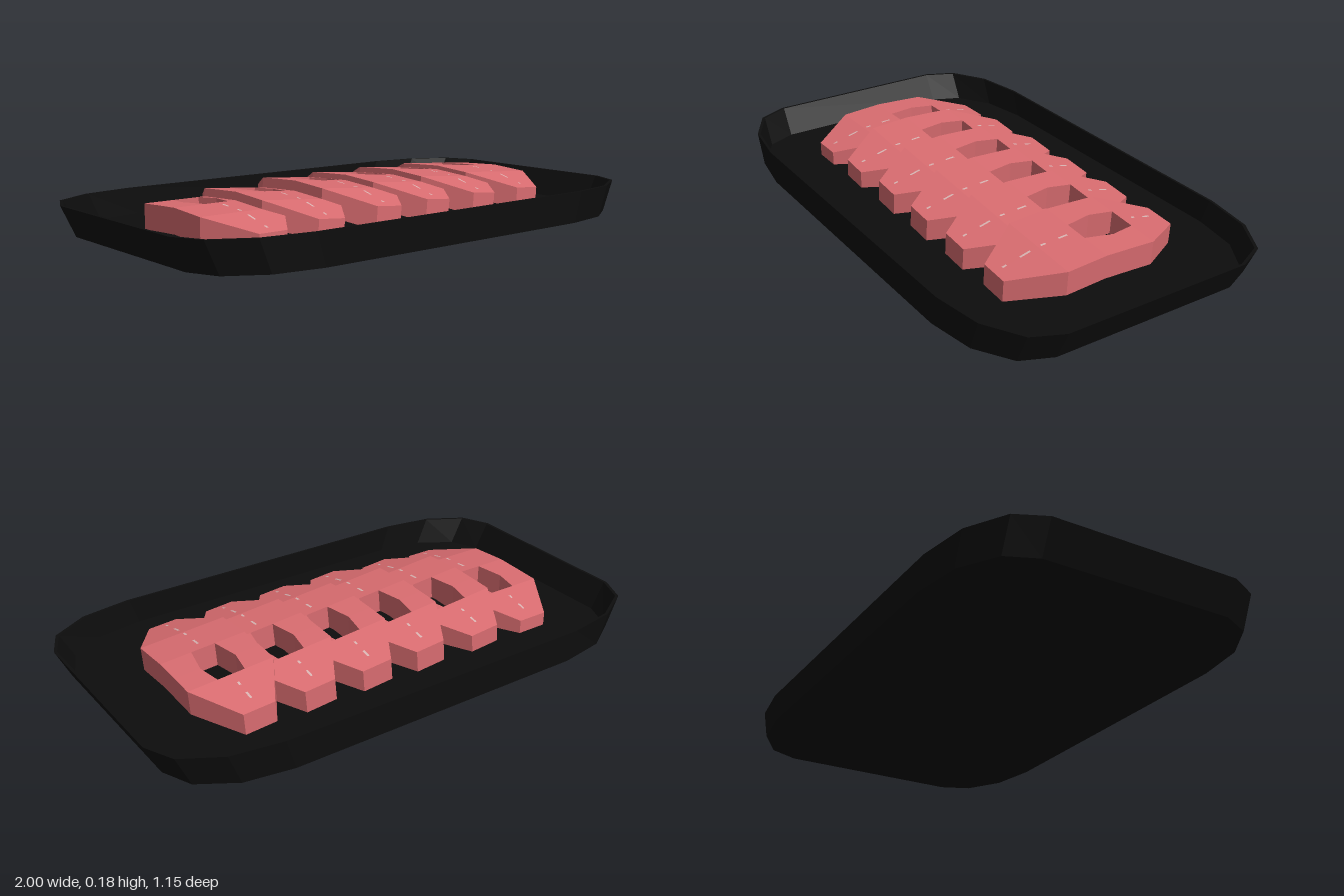
import * as THREE from 'three';

const trayMat = new THREE.MeshStandardMaterial({ color: 0x0d0d0d });
trayMat.name = 'black tray';
const meatMat = new THREE.MeshStandardMaterial({ color: 0xd96c70 });
meatMat.name = 'pink meat';
const fatMat = new THREE.MeshStandardMaterial({ color: 0xd8b4b2 });
fatMat.name = 'pale fat';

const FLOOR = 0.015;

// Collects flat-shaded quads, given counter-clockwise
function quadBuilder() {
  const pos = [];
  return {
    quad(a, b, c, d, flip = false) {
      const p = flip ? [d, c, b, a] : [a, b, c, d];
      for (const i of [0, 1, 2, 0, 2, 3]) pos.push(...p[i]);
    },
    build() {
      const g = new THREE.BufferGeometry();
      g.setAttribute('position', new THREE.Float32BufferAttribute(pos, 3));
      g.computeVertexNormals();
      return g;
    },
  };
}

// Rounded rectangle ring with three facets per corner
function trayRing(y, sx, sz) {
  const pts = [];
  for (let q = 0; q < 4; q++) {
    const cx = q === 0 || q === 3 ? 0.62 : -0.62;
    const cz = q < 2 ? 0.355 : -0.355;
    for (let k = 0; k < 4; k++) {
      const a = (q + k / 3) * Math.PI / 2;
      pts.push([(cx + 0.38 * Math.cos(a)) * sx, y, (cz + 0.22 * Math.sin(a)) * sz]);
    }
  }
  return pts;
}

// Underside, outer wall, rim, inner wall and floor
function trayGeometry() {
  const rings = [
    trayRing(0, 0, 0), trayRing(0, 0.945, 1), trayRing(0.115, 1, 1),
    trayRing(0.115, 0.99, 0.985), trayRing(FLOOR, 0.935, 0.985), trayRing(FLOOR, 0, 0),
  ];
  const b = quadBuilder();
  for (let r = 0; r < rings.length - 1; r++) {
    const lo = rings[r], hi = rings[r + 1], n = lo.length;
    for (let i = 0; i < n; i++) {
      const j = (i + 1) % n;
      b.quad(lo[i], hi[i], hi[j], lo[j]);
    }
  }
  return b.build();
}

// Stations along a slice: z, drop from crown, outer half width, hole half width
const STATIONS = [
  [-0.355, -0.053, 0.06, 0],
  [-0.18, -0.01, 0.165, 0.052],
  [-0.09, -0.005, 0.165, 0.068],
  [0.015, 0, 0.165, 0.046],
  [0.17, -0.01, 0.165, 0],
  [0.34, -0.053, 0.055, 0],
];

// Arched octagonal slice with a hole, mirrored about its long axis
function sliceGeometry(height) {
  const b = quadBuilder();
  const top = (s) => s[1];
  const bot = (s) => Math.max(s[1] - 0.09, FLOOR + 0.012 - height);
  for (const side of [1, -1]) {
    const flip = side < 0;
    const pt = (s, x, f) => [side * x, f(s), s[0]];
    for (let i = 0; i < STATIONS.length - 1; i++) {
      const p = STATIONS[i], q = STATIONS[i + 1];
      const hole = p[3] > 0 && q[3] > 0;
      const ip = hole ? p[3] : 0, iq = hole ? q[3] : 0;
      b.quad(pt(p, ip, top), pt(q, iq, top), pt(q, q[2], top), pt(p, p[2], top), flip);
      b.quad(pt(p, ip, bot), pt(q, iq, bot), pt(q, q[2], bot), pt(p, p[2], bot), !flip);
      b.quad(pt(p, p[2], bot), pt(p, p[2], top), pt(q, q[2], top), pt(q, q[2], bot), flip);
      if (hole) b.quad(pt(p, ip, bot), pt(p, ip, top), pt(q, iq, top), pt(q, iq, bot), !flip);
    }
    // slice ends and hole ends
    const cap = (s, w, rev) =>
      b.quad(pt(s, 0, bot), pt(s, w, bot), pt(s, w, top), pt(s, 0, top), rev ? !flip : flip);
    cap(STATIONS[5], STATIONS[5][2], false);
    cap(STATIONS[0], STATIONS[0][2], true);
    cap(STATIONS[1], STATIONS[1][3], false);
    cap(STATIONS[3], STATIONS[3][3], true);
  }
  return b.build();
}

// Crown drop at any z
function dropAt(z) {
  for (let i = 0; i < STATIONS.length - 1; i++) {
    const p = STATIONS[i], q = STATIONS[i + 1];
    if (z <= q[0]) return p[1] + (q[1] - p[1]) * (z - p[0]) / (q[0] - p[0]);
  }
  return 0;
}

// Tiny fat flecks lying along the slice centre line
function fleckGeometry() {
  const b = quadBuilder();
  const w = 0.004, h = 0.0015;
  for (const [z, len] of [[-0.29, 0.03], [-0.23, 0.015], [0.07, 0.035], [0.15, 0.02], [0.22, 0.04], [0.3, 0.015]]) {
    const z0 = z - len / 2, z1 = z + len / 2;
    const y0 = dropAt(z0) + h, y1 = dropAt(z1) + h;
    b.quad([-w, y0, z0], [-w, y1, z1], [w, y1, z1], [w, y0, z0]);
  }
  return b.build();
}

export function createModel() {
  const model = new THREE.Group();
  model.name = 'meatTray';

  const tray = new THREE.Mesh(trayGeometry(), trayMat);
  tray.name = 'tray';
  model.add(tray);

  // Overlapping slices: x, crown height, tilt
  const slices = [
    [-0.61, 0.132, 0], [-0.367, 0.147, 0.085], [-0.113, 0.162, 0.085],
    [0.12, 0.162, 0.085], [0.355, 0.162, 0.085], [0.59, 0.159, 0.07],
  ];
  const flecks = fleckGeometry();
  slices.forEach(([x, y, tilt], i) => {
    const slice = new THREE.Group();
    slice.name = 'slice' + (i + 1);
    const meat = new THREE.Mesh(sliceGeometry(y), meatMat);
    meat.name = 'meat';
    const fat = new THREE.Mesh(flecks, fatMat);
    fat.name = 'fatFlecks';
    slice.add(meat, fat);
    slice.position.set(x, y, 0);
    slice.rotation.z = -tilt;
    model.add(slice);
  });
  return model;
}
